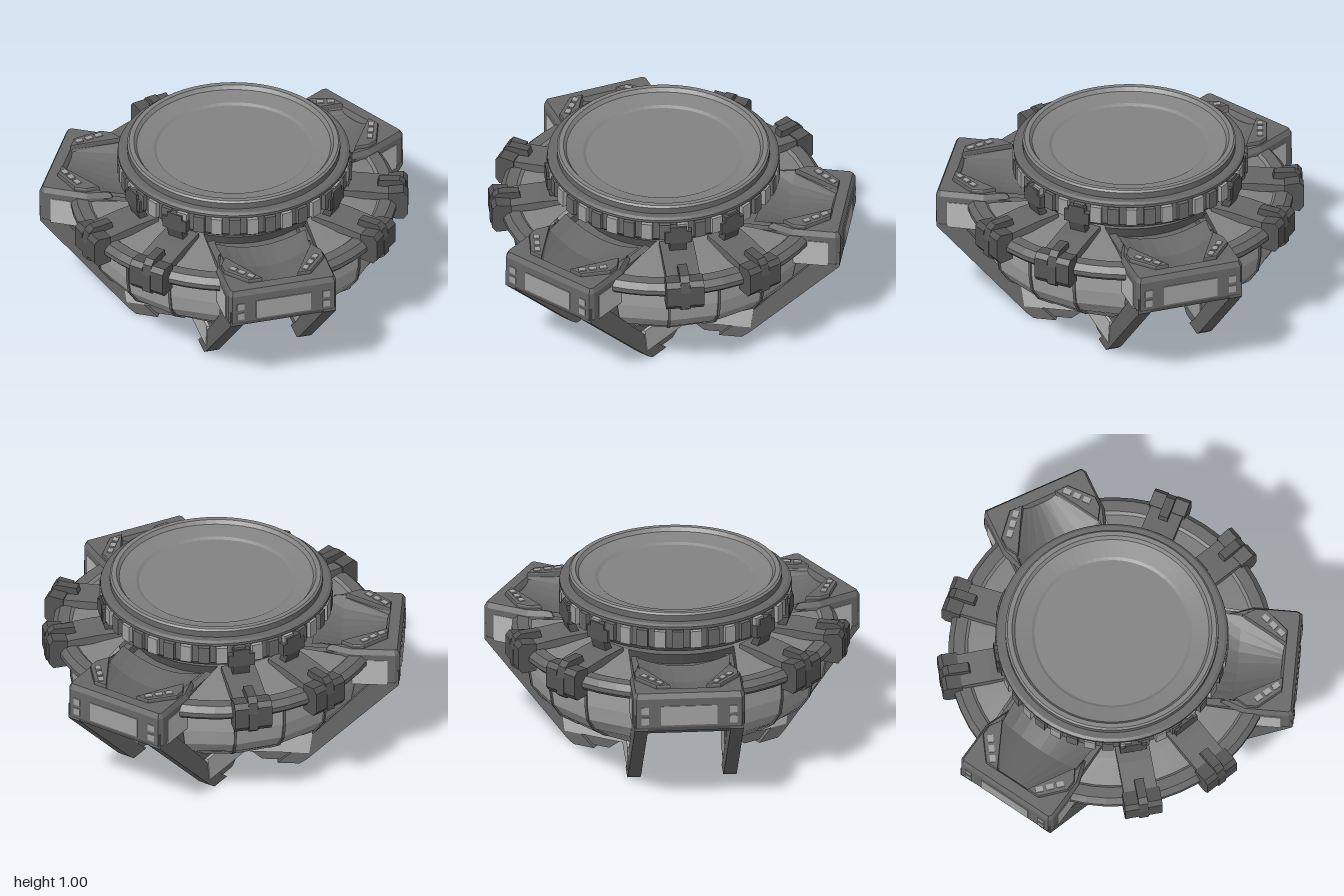
import * as THREE from 'three';

const metal = (color) => new THREE.MeshStandardMaterial({ color, flatShading: true, side: THREE.DoubleSide });
const black = metal(0x545454);
const dark = metal(0x676767);
const mid = metal(0x828282);
const bright = metal(0xa0a0a0);
const pale = metal(0xb8b8b8);

const HALF = 0.28; // half width between an arm's side plates
const SIXTH = Math.PI / 3;

function add(parent, name, material, geometry, x = 0, y = 0, z = 0) {
  const mesh = new THREE.Mesh(geometry, material);
  mesh.name = name;
  mesh.position.set(x, y, z);
  parent.add(mesh);
  return mesh;
}

const box = (w, h, d) => new THREE.BoxGeometry(w, h, d);
const shapeOf = (pts) => new THREE.Shape(pts.map(([a, b]) => new THREE.Vector2(a, b)));

// side profile of [z, y] points, extruded across x and centred
function slab(pts, width) {
  return new THREE.ExtrudeGeometry(shapeOf(pts), { depth: width, bevelEnabled: false })
    .rotateY(-Math.PI / 2).translate(width / 2, 0, 0);
}

// plan outline of [x, z] points, extruded downwards from the given top with a chamfer
function plate(pts, top, height, chamfer) {
  return new THREE.ExtrudeGeometry(shapeOf(pts), {
    depth: height - 2 * chamfer, bevelThickness: chamfer, bevelSize: chamfer / 2, bevelOffset: -chamfer / 2, bevelSegments: 1,
  }).rotateX(Math.PI / 2).translate(0, top - chamfer, 0);
}

// surface over rows; place(row, u) gives a point for u from -1 to 1
function loft(rows, segments, place) {
  const points = [], index = [], n = segments + 1;
  for (const row of rows) for (let i = 0; i <= segments; i++) points.push(...place(row, 2 * i / segments - 1));
  for (let j = 0; j < rows.length - 1; j++) {
    for (let i = 0; i < segments; i++) {
      const a = j * n + i, b = a + 1, c = a + n, d = c + 1;
      index.push(a, b, d, a, d, c);
    }
  }
  const g = new THREE.BufferGeometry();
  g.setAttribute('position', new THREE.Float32BufferAttribute(points, 3));
  g.setIndex(index);
  g.computeVertexNormals();
  return g;
}

// shell of [radius, y] rows that fills the space between two arms
const sectorShell = (rows, segments) => loft(rows, segments, ([r, y], u) => {
  const a = u * Math.max(0.01, SIXTH - Math.asin(Math.min(1, HALF / r)));
  return [r * Math.sin(a), y, r * Math.cos(a)];
});

// one arm, pointing along +z
function makeArm() {
  const arm = new THREE.Group();
  arm.name = 'arm';

  // forked head with a trough cut into its inner side
  const plan = [[-0.28, 0.99], [0.28, 0.99], [0.297, 0.965], [0.297, 0.73], [0.25, 0.6], [0.235, 0.6], [0.23, 0.67],
    [0.09, 0.905], [-0.09, 0.905], [-0.23, 0.67], [-0.235, 0.6], [-0.25, 0.6], [-0.297, 0.73], [-0.297, 0.965]];
  add(arm, 'armHead', dark, plate(plan, 0.725, 0.22, 0.028));

  // hollow trough floor, [z, half width, edge height, depth]
  const trough = [[0.915, 0.095, 0.71, 0.02], [0.67, 0.235, 0.715, 0.075], [0.52, 0.25, 0.73, 0.06]];
  add(arm, 'trough', dark, loft(trough, 8, ([z, w, y, depth], u) => [u * w, y - depth * (1 - u * u), z]));

  // core: ceiling of the hollow below
  add(arm, 'armCore', dark, slab([[0.95, 0.53], [0.86, 0.44], [0.45, 0.385], [0.1, 0.385], [0.1, 0.66],
    [0.52, 0.65], [0.66, 0.63], [0.94, 0.63]], 0.5));

  // outer face panel and its small lights
  add(arm, 'facePanel', bright, box(0.3, 0.11, 0.012), 0, 0.6, 0.988);
  for (const s of [-1, 1]) {
    for (const y of [0.57, 0.63]) add(arm, 'faceLight', bright, box(0.04, 0.04, 0.012), s * 0.235, y, 0.988);
    add(arm, 'sideLight', pale, box(0.01, 0.15, 0.19), s * 0.295, 0.59, 0.83);

    // side plate, its sloping outer rim and the foot panels
    add(arm, 'sidePlate', dark, slab([[0.96, 0.68], [0.96, 0.51], [0.47, 0.03], [0.44, 0.01], [0.26, 0.01],
      [0.16, 0.09], [0.16, 0.42], [0.45, 0.7]], 0.04), s * 0.25);
    add(arm, 'sideRim', dark, slab([[0.985, 0.6], [0.985, 0.51], [0.5, 0.03], [0.46, 0], [0.34, 0],
      [0.42, 0.07], [0.82, 0.5], [0.86, 0.6]], 0.07), s * 0.255);
    add(arm, 'footPanel', pale, slab([[0.16, 0.07], [0.51, 0.07], [0.53, 0.21], [0.16, 0.21]], 0.05), s * 0.27);
    add(arm, 'innerPanel', bright, slab([[0.27, 0.07], [0.47, 0.07], [0.5, 0.1], [0.5, 0.29], [0.27, 0.29]], 0.01), s * 0.228);
    add(arm, 'footLedge', dark, slab([[0.15, 0.21], [0.55, 0.21], [0.6, 0.265], [0.15, 0.265]], 0.04), s * 0.26);

    // raised shoulder beside the trough, with a diagonal row of squares
    add(arm, 'shoulder', dark, plate([[0.095, 0.92], [0.235, 0.675], [0.275, 0.74], [0.275, 0.8], [0.17, 0.92]]
      .map(([x, z]) => [s * x, z]), 0.745, 0.03, 0.006));
    for (let i = 0; i < 3; i++) {
      const square = add(arm, 'topSquare', bright, box(0.03, 0.012, 0.04), s * (0.225 - i * 0.037), 0.745, 0.8 + i * 0.043);
      square.rotation.y = s * -0.72;
    }
  }
  return arm;
}

// one clamp with its strap and upper lug, pointing along +z
function makeClamp() {
  const clamp = new THREE.Group();
  clamp.name = 'clamp';
  add(clamp, 'strap', dark, slab([[0.52, 0.7], [0.52, 0.745], [0.66, 0.74], [0.85, 0.72], [0.85, 0.68]], 0.18));
  add(clamp, 'clampHook', black, slab([[0.76, 0.72], [0.77, 0.765], [0.88, 0.765], [0.91, 0.74], [0.925, 0.68],
    [0.925, 0.58], [0.9, 0.56], [0.82, 0.56], [0.82, 0.66]], 0.05));
  for (const s of [-1, 1]) {
    add(clamp, 'clampJaw', black, slab([[0.82, 0.73], [0.9, 0.74], [0.923, 0.715], [0.923, 0.6],
      [0.9, 0.57], [0.82, 0.575], [0.82, 0.68]], 0.075), s * 0.063);
    add(clamp, 'lugSide', black, box(0.035, 0.07, 0.04), s * 0.055, 0.835, 0.607);
  }
  add(clamp, 'upperLug', black, slab([[0.55, 0.72], [0.6, 0.72], [0.628, 0.8], [0.628, 0.9], [0.59, 0.9], [0.585, 0.8]], 0.09));
  return clamp;
}

// bowl, rim and clamps between two arms, centred on +z
function makeSector() {
  const sector = new THREE.Group();
  sector.name = 'sector';
  add(sector, 'bowl', bright, sectorShell([[0.61, 0.245], [0.63, 0.265], [0.73, 0.335], [0.785, 0.41],
    [0.8, 0.5], [0.8, 0.61]], 4));
  add(sector, 'bowlFloor', dark, sectorShell([[0.324, 0.245], [0.61, 0.245]], 4));
  add(sector, 'rim', dark, sectorShell([[0.78, 0.61], [0.85, 0.615], [0.868, 0.635], [0.868, 0.66], [0.84, 0.69],
    [0.78, 0.69]], 12));
  add(sector, 'deck', mid, sectorShell([[0.78, 0.69], [0.765, 0.675], [0.62, 0.705], [0.5, 0.725], [0.324, 0.725]], 12));

  // ribs along the bowl's facet edges
  for (const k of [-1, 0, 1]) {
    const rib = add(sector, 'bowlRib', dark, slab([[0.61, 0.25], [0.635, 0.258], [0.737, 0.33], [0.792, 0.41],
      [0.807, 0.5], [0.807, 0.61], [0.77, 0.61]], 0.014));
    rib.rotation.y = k * 0.34;
  }
  for (const s of [-1, 1]) {
    const clamp = makeClamp();
    clamp.rotation.y = s * 0.25;
    sector.add(clamp);
  }
  return sector;
}

// round cap with a dished top and a toothed band
function makeCap() {
  const cap = new THREE.Group();
  cap.name = 'cap';
  const lathe = (pts) => new THREE.LatheGeometry(pts.map(([r, y]) => new THREE.Vector2(r, y)), 64);
  add(cap, 'capBody', dark, lathe([[0, 0.775], [0.56, 0.775], [0.595, 0.81], [0.595, 0.92], [0.615, 0.925],
    [0.615, 0.94], [0.6, 0.95], [0.565, 0.95], [0.565, 0.985]]));
  add(cap, 'capDish', mid, lathe([[0.565, 0.985], [0.555, 0.995], [0.53, 0.995], [0.515, 0.975],
    [0.425, 0.955], [0.41, 0.945], [0, 0.945]]));
  for (let i = 0; i < 40; i++) {
    const a = i * Math.PI / 20;
    const tooth = add(cap, 'capTooth', i % 2 ? dark : bright, box(0.06, 0.095, 0.03), 0.603 * Math.sin(a), 0.865, 0.603 * Math.cos(a));
    tooth.rotation.y = a;
  }
  return cap;
}

export function createModel() {
  const model = new THREE.Group();
  model.name = 'hub';
  const body = new THREE.Group();
  body.name = 'body';
  body.position.z = 0.03;
  model.add(body);

  add(body, 'centreHub', dark, new THREE.CylinderGeometry(0.5, 0.3, 0.34, 36), 0, 0.555, 0);
  for (let i = 0; i < 3; i++) {
    const sector = makeSector();
    sector.rotation.y = i * 2 * SIXTH;
    const arm = makeArm();
    arm.rotation.y = SIXTH + i * 2 * SIXTH;
    body.add(sector, arm);
  }
  body.add(makeCap());
  return model;
}
